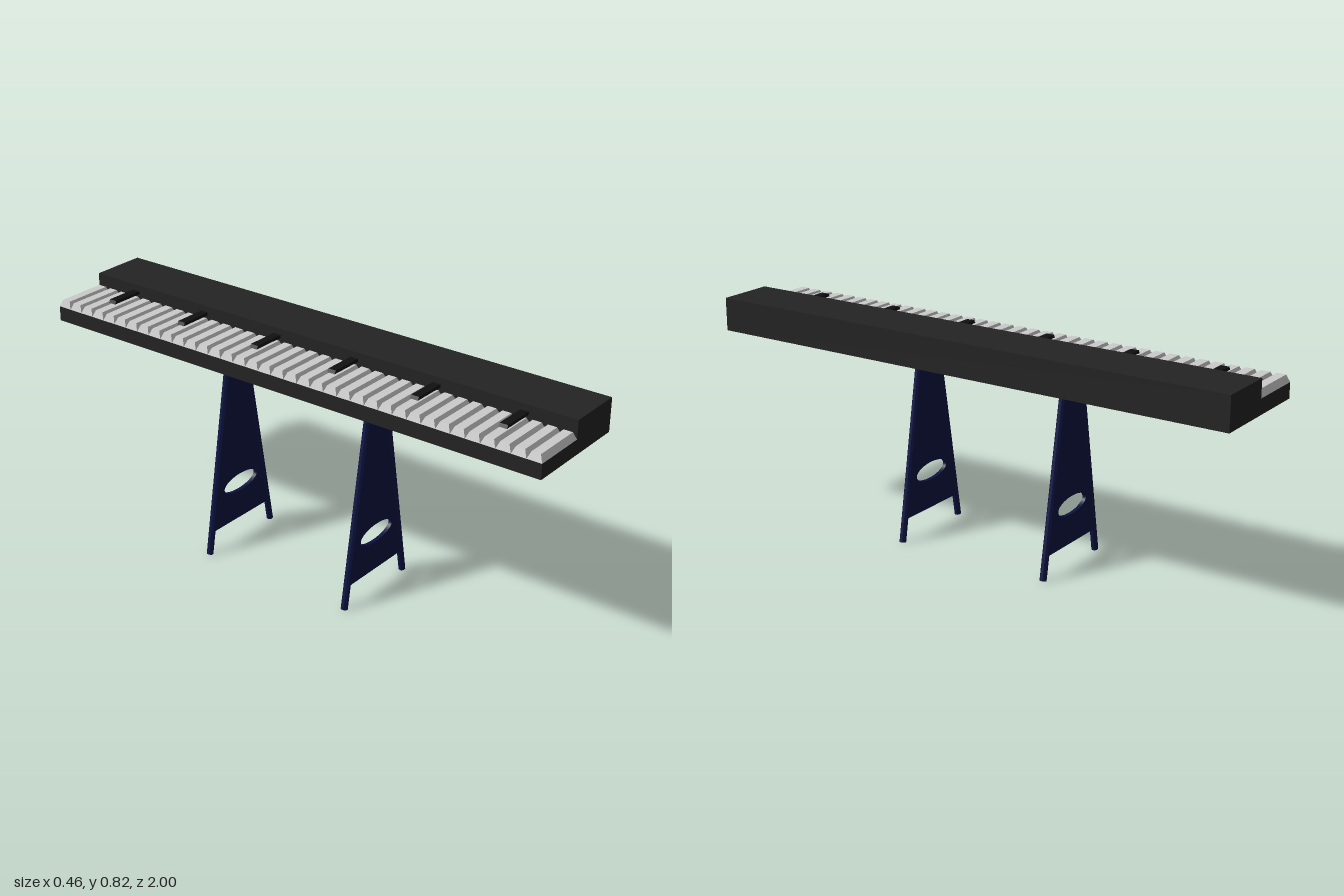
import * as THREE from 'three';

const mat = (color) => new THREE.MeshStandardMaterial({ color, flatShading: true });
const caseMat = mat(0x242424);
const keyMat = mat(0xcccccc);
const sharpMat = mat(0x101010);
const standMat = mat(0x0c1240);

function add(parent, name, geometry, material) {
  const mesh = new THREE.Mesh(geometry, material);
  mesh.name = name;
  parent.add(mesh);
  return mesh;
}

// Box whose upper face is drawn in by dx and dz on each side
function taperedBox(w, h, d, dx, dz) {
  const geo = new THREE.BoxGeometry(w, h, d);
  const p = geo.attributes.position;
  for (let i = 0; i < p.count; i++) {
    if (p.getY(i) > 0) {
      p.setX(i, p.getX(i) - Math.sign(p.getX(i)) * dx);
      p.setZ(i, p.getZ(i) - Math.sign(p.getZ(i)) * dz);
    }
  }
  geo.computeVertexNormals();
  return geo;
}

// L-shaped case: low key bed with a raised block behind it
function buildCase() {
  const shape = new THREE.Shape([
    [-0.181, 0.70], [0.228, 0.70], [0.228, 0.819],
    [0.023, 0.819], [0.023, 0.754], [-0.181, 0.754],
  ].map(([x, y]) => new THREE.Vector2(x, y)));
  const geo = new THREE.ExtrudeGeometry(shape, { depth: 2, bevelEnabled: false });
  return geo.translate(0, 0, -1);
}

function buildKeys() {
  const keys = new THREE.Group();
  keys.name = 'keyboard';
  const count = 37, pitch = 2 / count;
  const whiteGeo = taperedBox(0.203, 0.025, pitch, 0.009, 0.011);
  for (let i = 0; i < count; i++) {
    add(keys, 'whiteKey', whiteGeo, keyMat)
      .position.set(-0.0795, 0.7665, -1 + (i + 0.5) * pitch);
  }
  // Raised black keys, sloped at their free end
  const profile = new THREE.Shape([
    [-0.102, 0.785], [0.023, 0.785], [0.023, 0.796], [-0.096, 0.796],
  ].map(([x, y]) => new THREE.Vector2(x, y)));
  const blackGeo = new THREE.ExtrudeGeometry(profile, { depth: 0.03, bevelEnabled: false });
  blackGeo.translate(0, 0, -0.015);
  for (let i = 0; i < 6; i++) {
    add(keys, 'blackKey', blackGeo, sharpMat).position.z = -0.815 + i * 0.3255;
  }
  return keys;
}

// A-shaped trestle: two splayed legs joined by a panel with an oval hole
function buildStand() {
  const stand = new THREE.Group();
  stand.name = 'stand';
  const footX = 0.167, topX = 0.045, footY = 0.005, topY = 0.705;
  const length = Math.hypot(footX - topX, topY - footY);
  const legGeo = new THREE.CylinderGeometry(0.0122, 0.0122, length, 8);
  legGeo.rotateY(Math.PI / 8);
  for (const side of [-1, 1]) {
    const leg = add(stand, 'leg', legGeo, standMat);
    leg.position.set(side * (footX + topX) / 2, (footY + topY) / 2, 0);
    leg.rotation.z = side * Math.atan2(footX - topX, topY - footY);
  }
  const halfWidth = (y) => footX + (topX - footX) * (y - footY) / (topY - footY);
  const low = 0.088, wLow = halfWidth(low), wTop = halfWidth(topY);
  const panel = new THREE.Shape([
    new THREE.Vector2(-wLow, low), new THREE.Vector2(wLow, low),
    new THREE.Vector2(wTop, topY), new THREE.Vector2(-wTop, topY),
  ]);
  const hole = new THREE.Path();
  hole.absellipse(0, 0.227, 0.088, 0.033, 0, Math.PI * 2, true);
  panel.holes.push(hole);
  const panelGeo = new THREE.ExtrudeGeometry(panel, { depth: 0.014, bevelEnabled: false, curveSegments: 32 });
  add(stand, 'panel', panelGeo.translate(0, 0, -0.007), standMat);
  return stand;
}

export function createModel() {
  const model = new THREE.Group();
  model.name = 'keyboardOnStands';
  add(model, 'case', buildCase(), caseMat);
  model.add(buildKeys());
  for (const z of [0.311, -0.282]) {
    const stand = buildStand();
    stand.position.set(-0.051, 0, z);
    model.add(stand);
  }
  return model;
}
